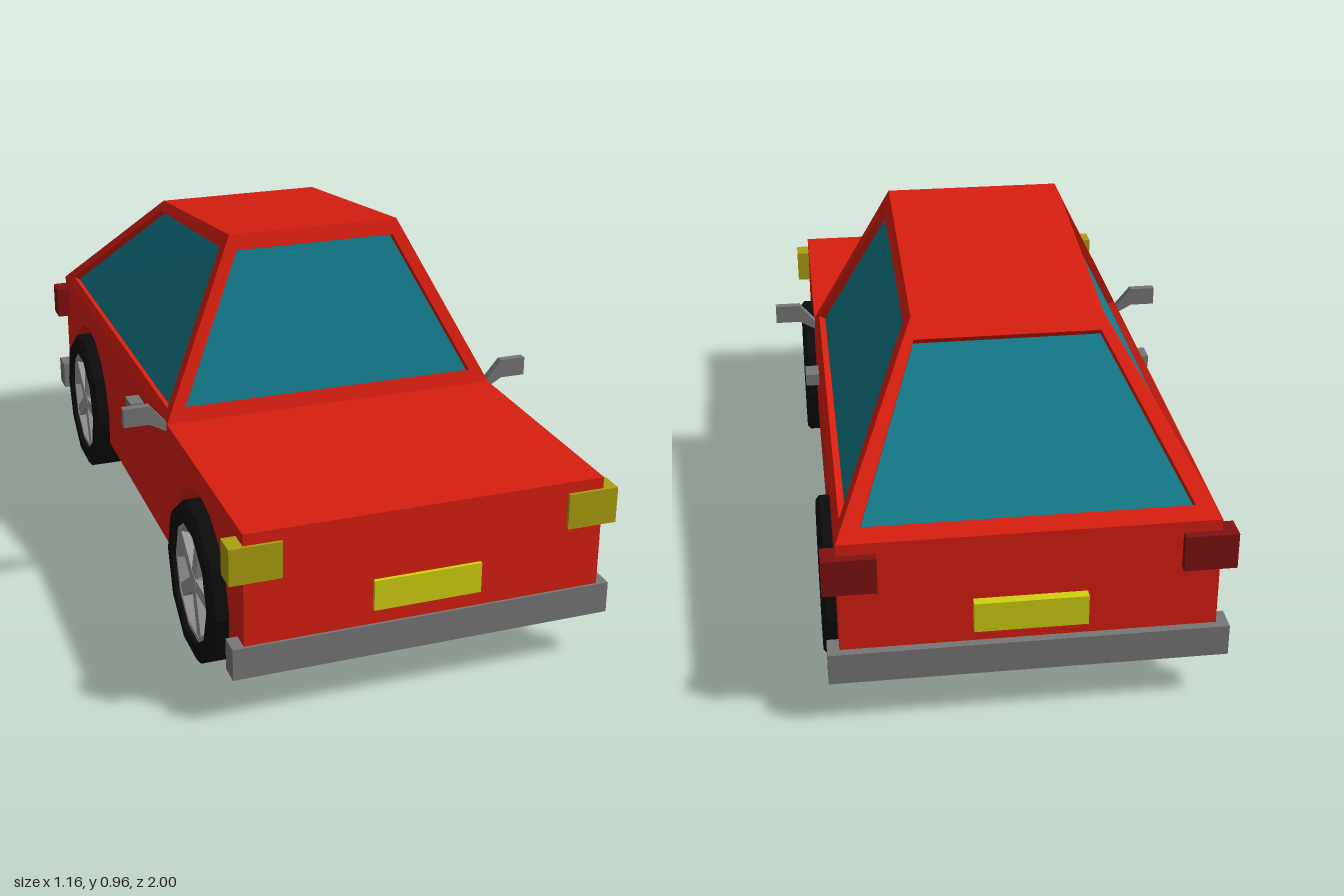
import * as THREE from 'three';

const mat = (color) => new THREE.MeshStandardMaterial({ color, flatShading: true, side: THREE.DoubleSide });
const V = (x, y, z) => new THREE.Vector3(x, y, z);

// Flat quads, each given as four corners in order
function quads(list) {
  const pos = [];
  for (const [a, b, c, d] of list) for (const p of [a, b, c, a, c, d]) pos.push(p.x, p.y, p.z);
  const g = new THREE.BufferGeometry();
  g.setAttribute('position', new THREE.Float32BufferAttribute(pos, 3));
  g.computeVertexNormals();
  return g;
}

export function createModel() {
  const car = new THREE.Group();
  car.name = 'car';
  const red = mat(0xd81e10), glass = mat(0x127888), black = mat(0x0c0c0c), grey = mat(0x777777);
  const rimGrey = mat(0x999999), lamp = mat(0xaaa010), plate = mat(0xd0d010), tail = mat(0x801010);
  const add = (name, geo, material, parent = car) => {
    const m = new THREE.Mesh(geo, material);
    m.name = name;
    parent.add(m);
    return m;
  };
  // Box from its minimum and maximum corners
  const box = (name, material, x0, x1, y0, y1, z0, z1) =>
    add(name, new THREE.BoxGeometry(Math.abs(x1 - x0), y1 - y0, z1 - z0), material)
      .position.set((x0 + x1) / 2, (y0 + y1) / 2, (z0 + z1) / 2);

  const W = 0.465, floor = 0.155, belt = 0.515, front = 0.99, back = -0.975;
  const axles = [0.635, -0.625], wheelY = 0.21, archR = 0.24;

  // Arch outline in (z, y), running from the rear foot to the front foot
  const archPoints = (zc) => {
    const a = Math.asin((floor - wheelY) / archR), pts = [];
    for (let i = 0; i <= 10; i++) {
      const t = Math.PI - a - (i / 10) * (Math.PI - 2 * a);
      pts.push(new THREE.Vector2(zc + archR * Math.cos(t), wheelY + archR * Math.sin(t)));
    }
    return pts;
  };
  const wall = (pts, x) => new THREE.ShapeGeometry(new THREE.Shape(pts)).rotateY(-Math.PI / 2).translate(x, 0, 0);

  // Lower body: open underneath, side walls cut out around the wheels
  const outline = [new THREE.Vector2(back, floor), ...archPoints(axles[1]), ...archPoints(axles[0]),
    new THREE.Vector2(front, floor), new THREE.Vector2(front, belt), new THREE.Vector2(back, belt)];
  for (const s of [1, -1]) {
    add('sideWall', wall(outline, s * W), red);
    for (const zc of axles) {
      const pts = archPoints(zc), strips = [];
      for (let i = 0; i < pts.length - 1; i++) {
        const p = pts[i], q = pts[i + 1];
        strips.push([V(s * W, p.y, p.x), V(s * W, q.y, q.x), V(s * 0.38, q.y, q.x), V(s * 0.38, p.y, p.x)]);
      }
      add('wheelArch', quads(strips), red);
      add('wheelArchBack', wall(pts, s * 0.38), red);
    }
  }
  const across = (y0, z0, y1, z1) => [V(-W, y0, z0), V(W, y0, z0), V(W, y1, z1), V(-W, y1, z1)];
  add('frontPanel', quads([across(floor, front, belt, front)]), red);
  add('rearPanel', quads([across(belt, back, floor, back)]), red);
  add('hood', quads([across(belt, front, belt, 0.33)]), red);

  // Cabin corners: base and roof
  const bFL = V(W, belt, 0.33), bFR = V(-W, belt, 0.33), bBL = V(W, belt, back), bBR = V(-W, belt, back);
  const rFL = V(0.24, 0.97, 0.175), rFR = V(-0.24, 0.97, 0.175), rBL = V(0.24, 0.88, -0.51), rBR = V(-0.24, 0.88, -0.51);
  add('roof', quads([[rFR, rFL, rBL, rBR]]), red);

  // Window panel: frame ring, reveal and recessed pane; inset = [u, v] of the pane's corners
  function windowPanel(name, corners, inset) {
    const [a, b, c, d] = corners;
    const inner = inset.map(([u, v]) => a.clone().lerp(b, u).lerp(d.clone().lerp(c, u), v));
    const n = c.clone().sub(a).cross(d.clone().sub(b)).normalize().multiplyScalar(-0.02);
    const deep = inner.map((p) => p.clone().add(n));
    const frame = [];
    for (let i = 0; i < 4; i++) {
      const j = (i + 1) % 4;
      frame.push([corners[i], corners[j], inner[j], inner[i]], [inner[i], inner[j], deep[j], deep[i]]);
    }
    add(name + 'Frame', quads(frame), red);
    add(name, quads([deep]), glass);
  }
  windowPanel('windshield', [bFR, bFL, rFL, rFR], [[0.04, 0.08], [0.96, 0.08], [0.93, 0.91], [0.07, 0.91]]);
  windowPanel('rearWindow', [bBL, bBR, rBR, rBL], [[0.05, 0.07], [0.95, 0.07], [0.95, 0.89], [0.05, 0.89]]);
  windowPanel('leftWindow', [bFL, bBL, rBL, rFL], [[0.03, 0.06], [0.96, 0.06], [0.92, 0.92], [0.06, 0.92]]);
  windowPanel('rightWindow', [bBR, bFR, rFR, rBR], [[0.04, 0.06], [0.97, 0.06], [0.94, 0.92], [0.08, 0.92]]);

  // Bumpers and plates
  box('frontBumper', grey, -0.495, 0.495, 0.137, 0.22, 0.94, 0.997);
  box('rearBumper', grey, -0.495, 0.495, 0.137, 0.22, -0.997, -0.93);
  box('frontPlate', plate, -0.14, 0.14, 0.26, 0.34, 0.97, 1);
  box('rearPlate', plate, -0.14, 0.14, 0.26, 0.34, -1, -0.96);

  // Mirror outline in (x, y)
  const mirror = new THREE.Shape([[0.46, 0.495], [0.535, 0.518], [0.58, 0.518], [0.58, 0.57], [0.508, 0.57], [0.46, 0.525]]
    .map(([x, y]) => new THREE.Vector2(x, y)));
  mirror.curves.length = 0;
  mirror.setFromPoints([[0.46, 0.49], [0.51, 0.518], [0.58, 0.518], [0.58, 0.57], [0.508, 0.57], [0.46, 0.512]]
    .map(([x, y]) => new THREE.Vector2(x, y)));

  for (const s of [1, -1]) {
    box('headlight', lamp, s * 0.37, s * 0.502, 0.39, 0.485, 0.935, 0.998);
    box('tailLight', tail, s * 0.37, s * 0.502, 0.39, 0.485, -0.998, -0.935);
    box('doorHandle', grey, s * 0.455, s * 0.503, 0.443, 0.477, 0.015, 0.075);
    const m = add('mirror', new THREE.ExtrudeGeometry(mirror, { depth: 0.022, bevelEnabled: false }), grey);
    m.position.z = 0.3;
    m.scale.x = s;
  }

  // Wheels: ten-sided tyre, recessed rim with spokes; local y points outwards
  const lathe = (pts) => new THREE.LatheGeometry(pts.map(([r, y]) => new THREE.Vector2(r, y)), 10);
  for (const s of [1, -1]) {
    for (const z of axles) {
      const wheel = new THREE.Group();
      wheel.name = 'wheel';
      add('tyre', lathe([[0.2, 0.37], [0.212, 0.375], [0.212, 0.49], [0.2, 0.5], [0.16, 0.5], [0.158, 0.485]]), black, wheel);
      add('rim', lathe([[0.16, 0.49], [0.145, 0.49], [0.135, 0.465], [0, 0.465]]), rimGrey, wheel);
      add('hub', new THREE.CylinderGeometry(0.03, 0.04, 0.025, 10).translate(0, 0.477, 0), rimGrey, wheel);
      add('innerDisc', new THREE.CylinderGeometry(0.2, 0.2, 0.004, 10).translate(0, 0.371, 0), red, wheel);
      for (let i = 0; i < 5; i++) {
        const spoke = add('spoke', new THREE.BoxGeometry(0.035, 0.022, 0.125).translate(0, 0.477, 0.085), rimGrey, wheel);
        spoke.rotation.y = (i / 5) * Math.PI * 2;
      }
      wheel.rotation.z = -s * Math.PI / 2;
      wheel.position.set(0, wheelY, z);
      car.add(wheel);
    }
  }
  return car;
}
